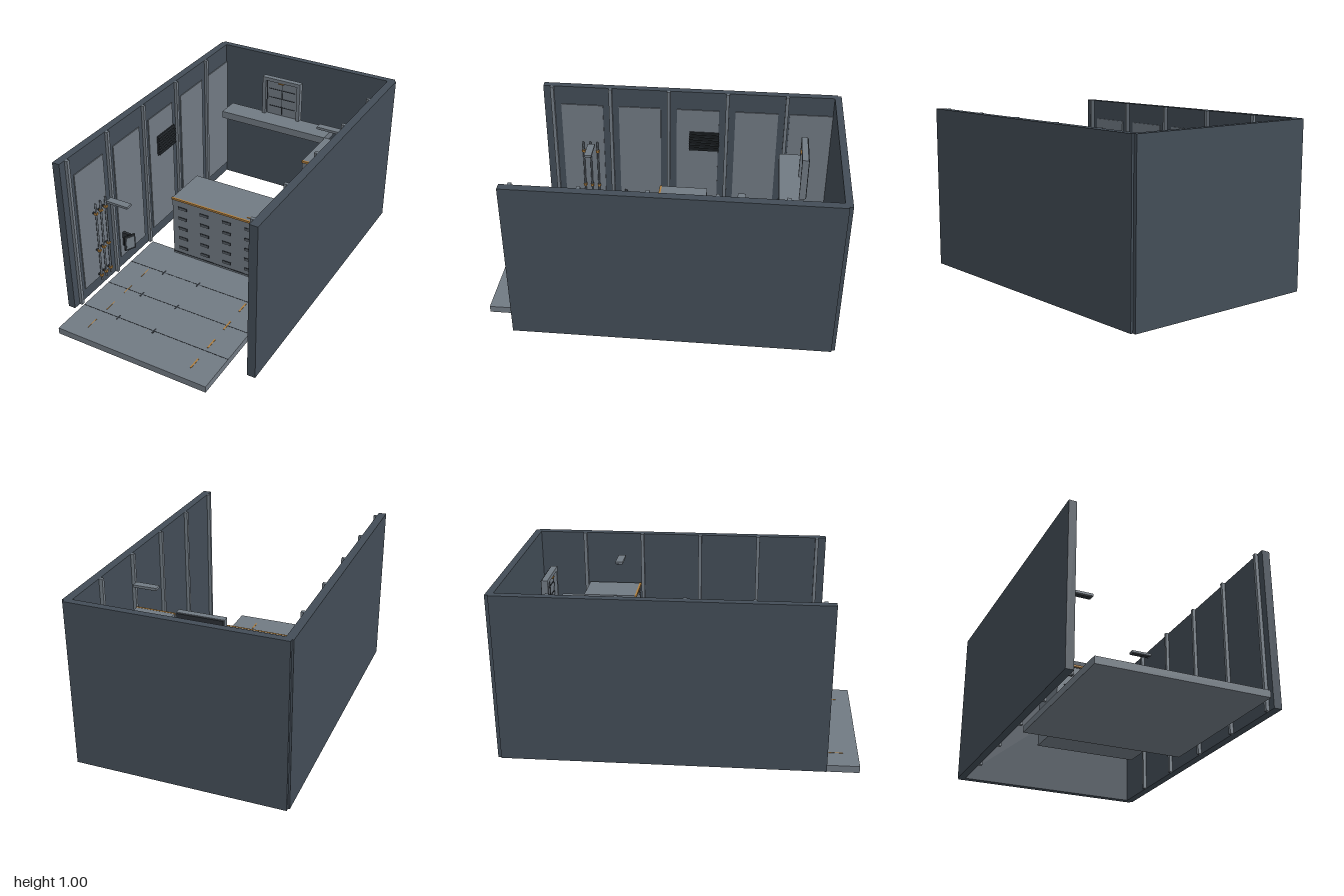
import * as THREE from 'three';

const mat = (name, color) => Object.assign(new THREE.MeshStandardMaterial({ color }), { name });

export function createModel() {
  const wall = mat('slate wall', 0x434d57);
  const steel = mat('grey steel', 0x717a83);
  const dark = mat('dark trim', 0x2a2f34);
  const orange = mat('orange accent', 0xb07f3e);
  const root = new THREE.Group();
  root.name = 'workshop';

  // Box given by its min and max on each axis
  const box = (name, m, x0, x1, y0, y1, z0, z1, parent = root) => {
    const mesh = new THREE.Mesh(new THREE.BoxGeometry(x1 - x0, y1 - y0, z1 - z0), m);
    mesh.position.set((x0 + x1) / 2, (y0 + y1) / 2, (z0 + z1) / 2);
    mesh.name = name;
    parent.add(mesh);
    return mesh;
  };
  const group = (name) => {
    const g = new THREE.Group();
    g.name = name;
    root.add(g);
    return g;
  };

  // Walls
  box('rightWall', wall, -0.61, -0.565, 0.04, 1, -0.98, 0.815);
  box('leftWall', wall, 0.56, 0.608, 0.04, 1, -0.98, 0.815);
  box('backWall', wall, -0.6, 0.595, 0.04, 1, -1, -0.96);

  // Wall posts on both sides
  for (const z of [-0.68, -0.32, 0.04, 0.4, 0.76]) {
    box('rightPost', steel, -0.565, -0.547, 0.04, 1, z - 0.01, z + 0.01);
    box('leftPost', steel, 0.54, 0.56, 0.04, 1, z - 0.01, z + 0.01);
  }

  // Sheet panels between the posts of the right wall
  for (const z of [-0.83, -0.5, -0.14, 0.22, 0.58]) {
    box('wallPanel', steel, -0.565, -0.559, 0.11, 0.88, z - 0.13, z + 0.13);
  }

  // Floor platform with seams, slots and lane marks
  const floor = group('floor');
  box('floorSlab', steel, -0.54, 0.415, 0, 0.04, 0.04, 1, floor);
  for (const z of [0.28, 0.52, 0.76]) {
    box('floorSeam', dark, -0.54, 0.415, 0.039, 0.041, z - 0.002, z + 0.002, floor);
    for (const x of [-0.3, -0.06]) {
      box('floorSlot', dark, x - 0.005, x + 0.005, 0.039, 0.042, z - 0.02, z + 0.02, floor);
    }
  }
  for (const z of [0.34, 0.52, 0.695, 0.875]) {
    box('laneMark', orange, 0.268, 0.277, 0.039, 0.042, z - 0.04, z + 0.04, floor);
    box('laneMark', orange, -0.402, -0.398, 0.039, 0.042, z - 0.04, z + 0.04, floor);
  }

  // Drawer cabinets
  const cabinet = (name, [x0, x1, y0, y1, z0, z1], cols, rows, half) => {
    const g = group(name);
    box('body', steel, x0, x1, y0, y1, z0, z1, g);
    box('topEdge', orange, x0 - 0.003, x1 + 0.003, y1 - 0.011, y1 + 0.001, z1 - 0.004, z1 + 0.008, g);
    box('edgeLine', dark, x0, x1, y1 - 0.016, y1 - 0.012, z1, z1 + 0.002, g);
    box('baseLine', dark, x0, x1, y0 + 0.01, y0 + 0.015, z1, z1 + 0.002, g);
    for (const x of cols) for (const y of rows) {
      box('handleRecess', dark, x - half, x + half, y - 0.009, y + 0.009, z1, z1 + 0.004, g);
      box('handle', steel, x - half + 0.005, x + half - 0.005, y - 0.005, y + 0.006, z1, z1 + 0.009, g);
    }
  };
  cabinet('drawerChest', [-0.36, 0.235, 0.04, 0.445, -0.22, 0.067],
    [-0.29, -0.138, 0.015, 0.165], [0.381, 0.308, 0.236, 0.164, 0.092], 0.03);
  cabinet('upperCabinet', [0.3, 0.535, 0.448, 0.683, -0.655, -0.338],
    [0.35, 0.483], [0.638, 0.566, 0.494], 0.025);

  // Side bench and small tools along the bench line
  box('sideBench', steel, 0.3, 0.535, 0.4, 0.445, -0.22, 0.06);
  for (const x of [0.15, 0.215, 0.28, 0.345, 0.405]) {
    box('tool', orange, x - 0.014, x + 0.014, 0.444, 0.449, 0.036, 0.043);
  }

  // Back shelf with framed board
  box('backShelf', steel, -0.42, 0.298, 0.64, 0.685, -0.785, -0.648);
  const board = group('framedBoard');
  box('boardPanel', steel, -0.17, 0.05, 0.685, 0.92, -0.795, -0.78, board);
  box('boardBack', dark, -0.185, 0.065, 0.685, 0.935, -0.8, -0.795, board);
  for (const x of [-0.19, 0.048]) box('frameSide', steel, x, x + 0.022, 0.685, 0.94, -0.795, -0.76, board);
  box('frameTop', steel, -0.168, 0.048, 0.918, 0.94, -0.795, -0.76, board);
  for (const x of [-0.168, 0.042]) box('frameGroove', dark, x, x + 0.006, 0.69, 0.918, -0.78, -0.778, board);
  for (const y of [0.742, 0.801, 0.86]) box('boardLine', dark, -0.15, 0.028, y - 0.002, y + 0.002, -0.78, -0.777, board);
  box('boardCentreLine', dark, -0.063, -0.059, 0.69, 0.912, -0.78, -0.777, board);
  box('boardMark', orange, -0.08, -0.04, 0.913, 0.918, -0.78, -0.754, board);

  // Light bars
  for (const [x, y, z] of [[0.415, 0.874, -0.44], [-0.42, 0.637, 0.52]]) {
    box('lightBar', steel, x - 0.07, x + 0.07, y - 0.006, y + 0.008, z - 0.022, z + 0.022);
    box('lightBarBase', dark, x - 0.06, x + 0.06, y - 0.01, y - 0.006, z - 0.016, z + 0.016);
  }

  // Slatted wall vent
  const vent = group('vent');
  box('ventBack', dark, -0.559, -0.552, 0.6, 0.73, -0.275, -0.09, vent);
  for (let i = 0; i < 7; i++) {
    const y = 0.605 + i * 0.0185;
    box('ventSlat', dark, -0.552, -0.541, y, y + 0.009, -0.275, -0.09, vent);
  }

  // Upright rods with clamps
  [0.49, 0.535, 0.58].forEach((z, i) => {
    const rod = new THREE.Mesh(new THREE.CylinderGeometry(0.006, 0.006, 0.53, 8), steel);
    rod.position.set(-0.538, 0.365, z);
    rod.name = 'rod' + (i + 1);
    root.add(rod);
    for (const y of [0.135, 0.312, 0.565]) {
      box('rodClamp', orange, -0.546, -0.529, y - 0.007, y + 0.007, z - 0.009, z + 0.009);
      box('clampArm', dark, -0.56, -0.546, y - 0.005, y + 0.005, z - 0.005, z + 0.005);
    }
  });

  // Tilted wall screen on an arm
  box('screenArm', dark, -0.565, -0.508, 0.18, 0.275, 0.308, 0.325);
  const screen = group('wallScreen');
  box('screenCase', dark, -0.005, 0.005, -0.05, 0.05, -0.036, 0.036, screen);
  box('screenFace', steel, 0.004, 0.007, -0.038, 0.038, -0.026, 0.026, screen);
  screen.position.set(-0.497, 0.235, 0.34);
  screen.rotation.y = -0.46;

  return root;
}
